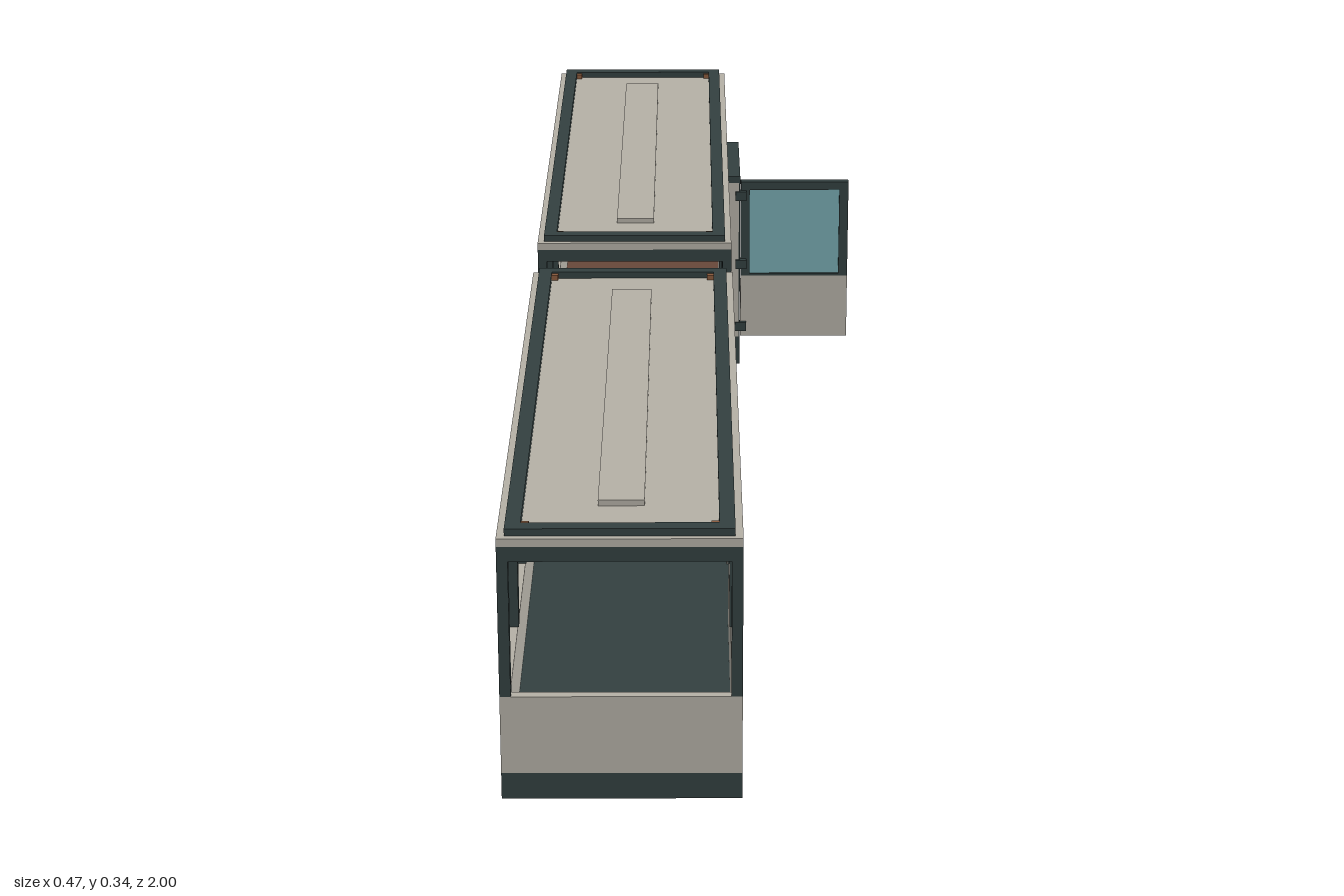
import * as THREE from 'three';

const material = (name, color, extra = {}) => {
  const m = new THREE.MeshStandardMaterial({ color, ...extra });
  m.name = name;
  return m;
};

export function createModel() {
  const beige = material('beige paint', 0xb4b0a6);
  const dark = material('dark green trim', 0x334040);
  const brown = material('brown floor', 0x68473a);
  const wood = material('wood trim', 0x8a5a3c);
  const glass = material('blue glass', 0x76a9af);

  // Box given by its limits on each axis
  const box = (parent, name, mat, x0, x1, y0, y1, z0, z1) => {
    const mesh = new THREE.Mesh(new THREE.BoxGeometry(x1 - x0, y1 - y0, z1 - z0), mat);
    mesh.position.set((x0 + x1) / 2, (y0 + y1) / 2, (z0 + z1) / 2);
    mesh.name = name;
    parent.add(mesh);
    return mesh;
  };
  // Cylinder lying along z
  const drum = (parent, name, mat, r, x, y, z0, z1) => {
    const mesh = new THREE.Mesh(new THREE.CylinderGeometry(r, r, z1 - z0, 20), mat);
    mesh.rotation.x = Math.PI / 2;
    mesh.position.set(x, y, (z0 + z1) / 2);
    mesh.name = name;
    parent.add(mesh);
  };
  const rect = (C, x0, x1, y0, y1) => {
    const p = new C();
    p.moveTo(x0, y0).lineTo(x1, y0).lineTo(x1, y1).lineTo(x0, y1).closePath();
    return p;
  };

  const L = -0.234, R = 0.045, MID = (L + R) / 2; // sides of a car
  const B = 0.062, F = 1.0;                       // back and front of a car
  const T = 0.012, SILL = 0.131, FLOOR = 0.045;
  const DOOR0 = 0.435, DOOR1 = 0.615;             // doorway on the left side

  function makeCar(name, floorMat) {
    const car = new THREE.Group();
    car.name = name;
    box(car, 'base', dark, L, R, 0, 0.033, B, F);
    box(car, 'floor', floorMat, L + T, R - T, 0.033, FLOOR, B + T, F - T);
    box(car, 'doorSill', dark, R - T, R - 0.001, 0.033, FLOOR, DOOR0, DOOR1);

    // Lower walls
    box(car, 'rightWall', beige, L, L + T, 0.033, SILL, B, F);
    box(car, 'leftWallBack', beige, R - T, R, 0.033, SILL, B, DOOR0);
    box(car, 'leftWallFront', beige, R - T, R, 0.033, SILL, DOOR1, F);
    box(car, 'frontWall', beige, L + T, R - T, 0.033, SILL, F - T, F);
    const wall = rect(THREE.Shape, L + T, R - T, 0.033, SILL);
    wall.holes.push(rect(THREE.Path, -0.195, -0.135, 0.068, 0.1));
    const backWall = new THREE.Mesh(
      new THREE.ExtrudeGeometry(wall, { depth: T, bevelEnabled: false }), beige);
    backWall.position.z = B;
    backWall.name = 'backWall';
    car.add(backWall);

    // Window posts
    for (const z of [0.075, 0.245, 0.43, 0.618, 0.805, 0.992]) {
      for (const x of [L, R - 0.013]) {
        box(car, 'windowPost', dark, x, x + 0.013, SILL, 0.302, z - 0.008, z + 0.008);
      }
    }

    // Roof beams with wood trim along the sides
    const rb = B + 0.006;
    for (const x of [L, R - 0.014]) {
      box(car, 'sideBeam', dark, x, x + 0.014, 0.307, 0.318, rb, F);
      box(car, 'sideTrim', wood, x + 0.001, x + 0.013, 0.3, 0.307, rb + 0.014, F - 0.014);
    }
    for (const z of [rb, F - 0.014]) {
      box(car, 'endBeam', dark, L, R, 0.3, 0.318, z, z + 0.014);
    }

    // Roof with raised rim, corner pieces and centre panel
    box(car, 'roof', beige, L, R, 0.318, 0.328, rb, F);
    const x0 = L + 0.009, x1 = R - 0.009, z0 = rb + 0.008, z1 = F - 0.008, w = 0.018;
    for (const x of [x0, x1 - w]) box(car, 'sideRim', dark, x, x + w, 0.328, 0.337, z0, z1);
    for (const z of [z0, z1 - w]) {
      box(car, 'endRim', dark, x0 + w, x1 - w, 0.328, 0.337, z, z + w);
    }
    for (const x of [x0 + w, x1 - w - 0.009]) {
      for (const z of [z0 + w, z1 - w - 0.009]) {
        box(car, 'rimCorner', wood, x, x + 0.009, 0.328, 0.335, z, z + 0.009);
      }
    }
    box(car, 'roofPanel', beige, MID - 0.027, MID + 0.027, 0.328, 0.335, 0.16, 0.905);
    return car;
  }

  const model = new THREE.Group();
  model.name = 'twoCarTrain';
  model.add(makeCar('frontCar', dark));
  const rearCar = makeCar('rearCar', brown);
  rearCar.position.z = -(B + F);
  model.add(rearCar);

  // Door frame standing out from the rear car
  const frame = new THREE.Group();
  frame.name = 'doorFrame';
  model.add(frame);
  const fz0 = -0.637, fz1 = -0.447, fx = 0.064;
  box(frame, 'frameSill', dark, R, fx, 0, FLOOR, fz0, fz1);
  box(frame, 'frameTop', dark, R, fx, 0.3, 0.31, fz0, fz1);
  for (const z of [fz0, fz1 - 0.009]) {
    box(frame, 'jamb', beige, R, fx - 0.002, FLOOR, 0.3, z, z + 0.009);
    box(frame, 'jambFace', dark, fx - 0.002, fx, FLOOR, 0.3, z, z + 0.009);
  }

  // Open door
  const door = new THREE.Group();
  door.name = 'openDoor';
  model.add(door);
  const dz0 = -0.465, dz1 = -0.452, dx0 = 0.065, dx1 = 0.233;
  box(door, 'doorPanel', beige, dx0, dx1, FLOOR, 0.146, dz0, dz1);
  box(door, 'doorPostInner', dark, dx0, 0.079, 0.146, 0.3, dz0, dz1);
  box(door, 'doorPostOuter', dark, 0.219, dx1, 0.146, 0.3, dz0, dz1);
  box(door, 'doorRailTop', dark, 0.079, 0.219, 0.287, 0.3, dz0, dz1);
  box(door, 'doorRailBottom', dark, 0.079, 0.219, 0.146, 0.149, dz0, dz1);
  box(door, 'doorGlass', glass, 0.079, 0.219, 0.149, 0.287, -0.461, -0.456);
  for (const y of [0.063, 0.167, 0.279]) {
    box(door, 'hinge', dark, 0.057, 0.074, y - 0.007, y + 0.007, -0.456, -0.443);
  }

  // Coupling: mirrored bracket and buffer on each car, joined by a drum and a cable
  const coupling = new THREE.Group();
  coupling.name = 'coupling';
  model.add(coupling);
  for (const s of [-1, 1]) {
    const part = (name, mat, a, b, c, d, n, f) =>
      box(coupling, name, mat, a, b, c, d, Math.min(s * n, s * f), Math.max(s * n, s * f));
    part('bracketPlate', beige, -0.178, -0.01, 0.055, 0.141, 0.052, B);
    part('bracketCap', dark, -0.178, -0.01, 0.141, 0.15, 0.05, B);
    part('bracketCentre', dark, -0.14, -0.047, 0.075, 0.141, 0.047, 0.052);
    drum(coupling, 'bufferDisc', dark, 0.026, MID, 0.108, s * 0.031 - 0.008, s * 0.031 + 0.008);
  }
  drum(coupling, 'couplingDrum', beige, 0.017, MID, 0.108, -0.048, 0.048);
  const cable = new THREE.CatmullRomCurve3([
    [0.075, 0.056], [0.05, 0.05], [0.043, 0.03], [0.043, -0.03], [0.05, -0.05], [0.075, -0.056],
  ].map(([y, z]) => new THREE.Vector3(-0.147, y, z)));
  const hose = new THREE.Mesh(new THREE.TubeGeometry(cable, 24, 0.004, 8), dark);
  hose.name = 'cable';
  coupling.add(hose);

  return model;
}
